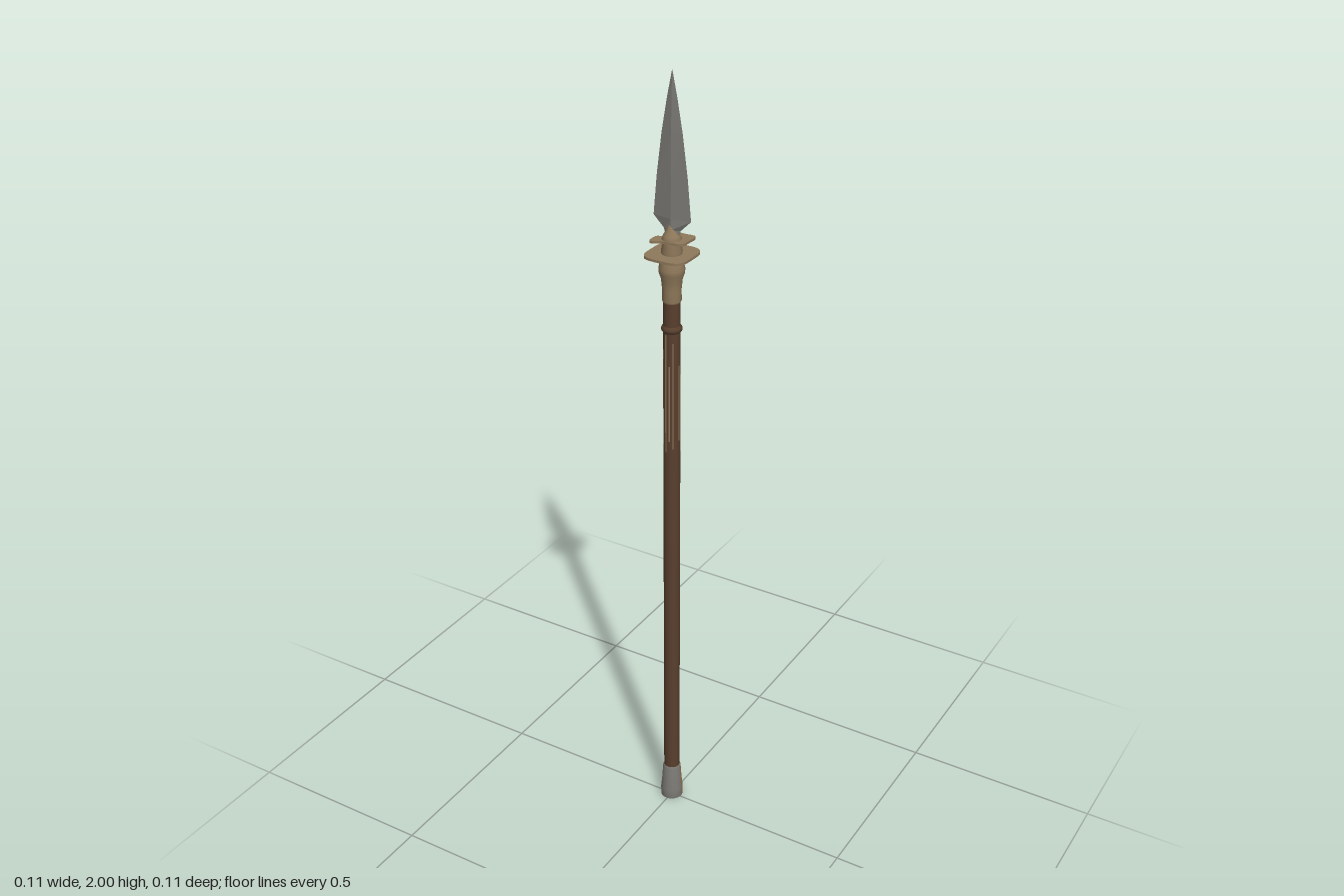
import * as THREE from 'three';

const mat = (name, color, extra = {}) => {
  const m = new THREE.MeshStandardMaterial({ color, ...extra });
  m.name = name;
  return m;
};

export function createModel() {
  const steel = mat('steel', 0x7d7b76);
  const wood = mat('dark wood', 0x583f2e);
  const tan = mat('tan leather', 0x8e785a);
  const darkLeather = mat('dark leather', 0x4a3526);
  const model = new THREE.Group();

  const add = (name, geometry, material) => {
    const mesh = new THREE.Mesh(geometry, material);
    mesh.name = name;
    model.add(mesh);
    return mesh;
  };
  // Turned part from [radius, height] pairs, optionally only an arc of it
  const turned = (name, profile, material, start = 0, arc = Math.PI * 2, sides = 18) =>
    add(name, new THREE.LatheGeometry(profile.map(p => new THREE.Vector2(...p)), sides, start, arc), material);
  // Thin horizontal plate from an outline of [x, z] points
  const plate = (name, outline, top, thickness, material) => {
    const shape = new THREE.Shape();
    shape.setFromPoints(new THREE.CatmullRomCurve3(
      outline.map(([x, z]) => new THREE.Vector3(x, z, 0)), true, 'centripetal')
      .getPoints(64).slice(0, -1).map(p => new THREE.Vector2(p.x, p.y)));
    const g = new THREE.ExtrudeGeometry(shape, { depth: thickness, bevelEnabled: false });
    g.rotateX(Math.PI / 2);
    g.translate(0, top, 0);
    return add(name, g, material);
  };

  // Shaft
  turned('shaft', [[0.0205, 0.08], [0.0205, 1.48]], wood);
  turned('shaftRing', [[0.0205, 1.383], [0.025, 1.388], [0.025, 1.394], [0.0205, 1.4]], wood);

  // Worn pale streaks on the front and right of the shaft
  const streaks = [[-0.62, 1.09, 1.34, 0.18], [-0.2, 1.07, 1.38, 0.2], [0.25, 1.1, 1.3, 0.14],
    [0.65, 1.08, 1.36, 0.12], [1.45, 1.1, 1.3, 0.2], [1.8, 1.07, 1.29, 0.12]];
  for (const [angle, low, high, width] of streaks) {
    turned('shaftStreak', [[0.0212, low], [0.0212, high]], tan, angle - width / 2, width, 2);
  }

  // Butt cap: metal front, leather back
  const cap = [[0.024, 0], [0.029, 0.004], [0.029, 0.03], [0.026, 0.06], [0.0235, 0.1], [0.02, 0.106]];
  turned('buttCapFront', cap, steel, -Math.PI / 2, Math.PI, 10);
  turned('buttCapBack', cap, tan, Math.PI / 2, Math.PI, 10);
  const base = add('buttCapBase', new THREE.CircleGeometry(0.024, 18), darkLeather);
  base.rotation.x = Math.PI / 2;

  // Socket below the guard and binding above it
  turned('socket', [[0.0205, 1.458], [0.023, 1.463], [0.0225, 1.49], [0.025, 1.515], [0.03, 1.53],
    [0.031, 1.542], [0.027, 1.558], [0.023, 1.575]], tan);
  turned('binding', [[0.023, 1.57], [0.025, 1.585], [0.022, 1.6], [0.024, 1.612], [0.02, 1.622],
    [0.012, 1.635], [0.006, 1.65], [0, 1.655]], tan);

  // Rounded square guard
  const guard = [];
  const power = (v) => Math.sign(v) * Math.abs(v) ** 0.5;
  for (let i = 0; i < 32; i++) {
    const a = i / 32 * Math.PI * 2;
    guard.push([0.054 * power(Math.cos(a)), 0.056 * power(Math.sin(a)) - 0.001]);
  }
  plate('guard', guard, 1.578, 0.006, tan);

  // Ragged leather flap above the guard
  plate('leatherFlap', [[-0.022, -0.03], [-0.015, -0.041], [0.01, -0.04], [0.039, -0.039], [0.041, -0.01],
    [0.036, 0.018], [0.01, 0.024], [-0.014, 0.027], [-0.028, 0.036], [-0.038, 0.035], [-0.04, 0.016],
    [-0.037, 0.003], [-0.023, -0.002]], 1.613, 0.006, tan);

  // Blade: diamond cross-sections [height, half width, half thickness]
  const sections = [[1.615, 0.016, 0.009], [1.635, 0.022, 0.009], [1.662, 0.049, 0.007], [1.76, 0.04, 0.006],
    [1.86, 0.027, 0.005], [1.94, 0.013, 0.003], [2, 0.0005, 0.0005]];
  const corners = [[1, 0], [0, 1], [-1, 0], [0, -1]];
  const verts = [];
  const at = (s, c) => [corners[c % 4][0] * s[1] + 0.001, s[0], corners[c % 4][1] * s[2]];
  for (let i = 0; i < sections.length - 1; i++) {
    for (let c = 0; c < 4; c++) {
      const a = at(sections[i], c), b = at(sections[i], c + 1);
      const d = at(sections[i + 1], c), e = at(sections[i + 1], c + 1);
      verts.push(...a, ...d, ...b, ...b, ...d, ...e);
    }
  }
  const blade = new THREE.BufferGeometry();
  blade.setAttribute('position', new THREE.Float32BufferAttribute(verts, 3));
  blade.computeVertexNormals();
  add('blade', blade, steel);

  return model;
}
